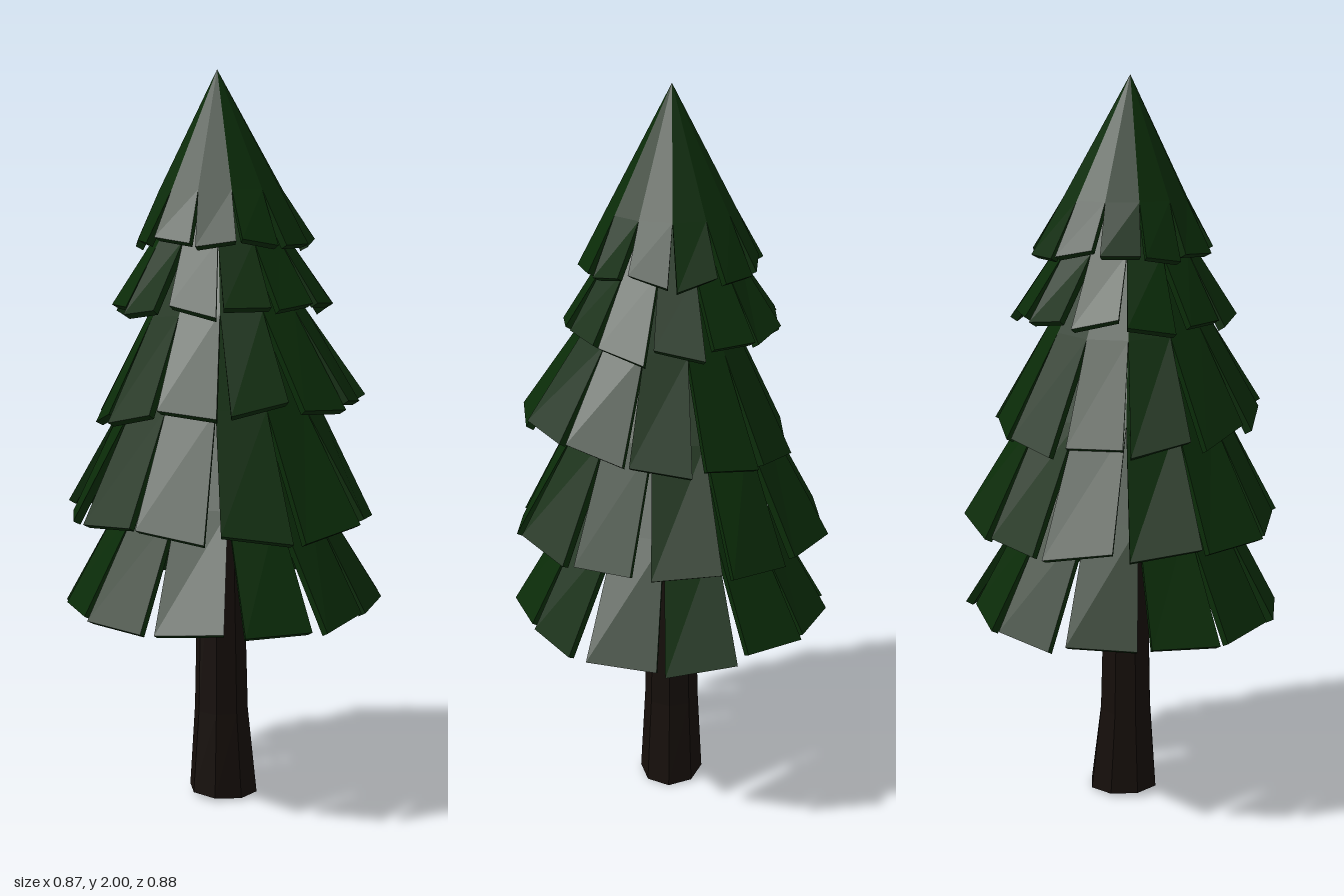
import * as THREE from 'three';

const LEAVES = 12;
const PITCH = (Math.PI * 2) / LEAVES;

// small seeded generator, returns -1..1
function seeded(seed) {
  let s = seed;
  return () => {
    s = (s * 16807) % 2147483647;
    return (s / 2147483647) * 2 - 1;
  };
}

// One shingle of a tier: a box bent into a cone sector that splits off near its lower end
function leafGeometry(tier, index, rnd) {
  const { apex, bottom, radius, split, turn, lean } = tier;
  const swing = rnd() * 0.035;
  const tilt = rnd() * 0.015;
  const grow = 1 + rnd() * 0.025;
  const slide = rnd() * 0.05;
  const geo = new THREE.BoxGeometry(1, 1, 1, 1, 2, 1);
  const pos = geo.attributes.position;
  const slope = Math.hypot(radius, apex - bottom);
  const nr = (apex - bottom) / slope, ny = radius / slope; // outward normal of the cone
  for (let i = 0; i < pos.count; i++) {
    const side = pos.getX(i); // -0.5 or 0.5
    const row = Math.round((0.5 - pos.getY(i)) * 2);
    const t = [0, split, 1][row];
    const low = row === 2 ? 1 : 0;
    const width = low ? 0.84 : 1;
    const angle = turn + PITCH * (index + 0.5 + side * width + low * slide);
    let r = radius * t * (low ? grow + side * swing * 2 : 1);
    let y = apex - (apex - bottom) * t + low * (side * tilt * 2 - (grow - 1) * 0.4);
    if (pos.getZ(i) < 0) { // inner skin
      r = Math.max(0, r - 0.022 * nr);
      y -= row === 0 ? 0.04 : 0.022 * ny;
    }
    const z = Math.cos(angle) * r;
    pos.setXYZ(i, Math.sin(angle) * r - 0.02 * (1 - t), y + lean * z, z + lean * 0.4 * t);
  }
  const flat = geo.toNonIndexed();
  flat.computeVertexNormals();
  return flat;
}

// Eight-sided trunk, flared and slightly skewed at the foot
function trunkGeometry() {
  const geo = new THREE.CylinderGeometry(1, 1, 1, 8, 2);
  const pos = geo.attributes.position;
  const rings = [
    { y: 0.01, x: 0, rx: 0.1, rz: 0.09 },
    { y: 0.25, x: -0.007, rx: 0.075, rz: 0.077 },
    { y: 0.95, x: -0.01, rx: 0.058, rz: 0.06 },
  ];
  for (let i = 0; i < pos.count; i++) {
    const k = Math.round((pos.getY(i) + 0.5) * 2);
    const ring = rings[k];
    const x = pos.getX(i), z = pos.getZ(i);
    pos.setXYZ(i, ring.x + x * ring.rx, ring.y - (k === 0 ? x * 0.007 + z * 0.003 : 0), z * ring.rz);
  }
  const flat = geo.toNonIndexed();
  flat.computeVertexNormals();
  return flat;
}

export function createModel() {
  const tree = new THREE.Group();
  tree.name = 'pineTree';

  const bark = new THREE.MeshStandardMaterial({ color: 0x150e0a, flatShading: true });
  const needles = new THREE.MeshStandardMaterial({ color: 0x0a2b08, flatShading: true });

  const trunk = new THREE.Mesh(trunkGeometry(), bark);
  trunk.name = 'trunk';
  tree.add(trunk);

  // Foliage tiers from the lowest to the tip
  const tiers = [
    { apex: 1.34, bottom: 0.57, radius: 0.427, split: 0.62, turn: 0, lean: 0 },
    { apex: 1.62, bottom: 0.82, radius: 0.42, split: 0.62, turn: -0.12, lean: 0 },
    { apex: 1.74, bottom: 1.1, radius: 0.36, split: 0.6, turn: -0.14, lean: 0.1 },
    { apex: 1.84, bottom: 1.38, radius: 0.295, split: 0.62, turn: -0.11, lean: 0 },
    { apex: 2.0, bottom: 1.55, radius: 0.24, split: 0.7, turn: 0.09, lean: 0 },
  ];
  const rnd = seeded(4711);
  tiers.forEach((tier, n) => {
    const group = new THREE.Group();
    group.name = `foliageTier${n + 1}`;
    for (let i = 0; i < LEAVES; i++) {
      const leaf = new THREE.Mesh(leafGeometry(tier, i, rnd), needles);
      leaf.name = `bough${i + 1}`;
      group.add(leaf);
    }
    tree.add(group);
  });

  return tree;
}
